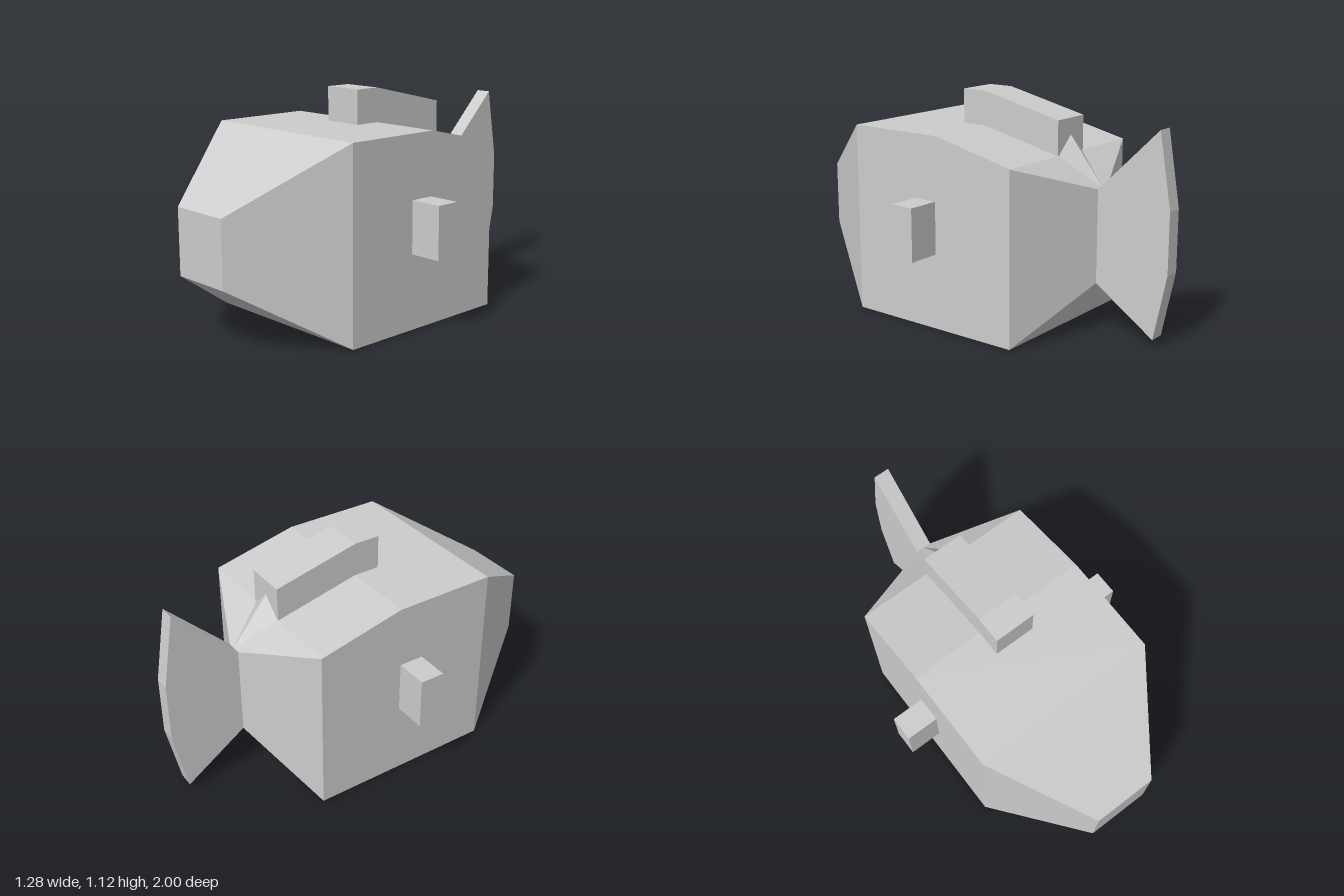
import * as THREE from 'three';

const material = new THREE.MeshStandardMaterial({ color: 0xcccccc, flatShading: true });

function addMesh(group, geometry, name) {
  const mesh = new THREE.Mesh(geometry, material);
  mesh.name = name;
  group.add(mesh);
  return mesh;
}

// Solid lofted through equal-sized rings of points, listed from front to back.
// Each ring runs counter-clockwise as seen from the front.
function loft(rings) {
  const n = rings[0].length;
  const positions = [];
  const tri = (a, b, c) => positions.push(...a, ...b, ...c);
  for (let i = 0; i < rings.length - 1; i++) {
    for (let j = 0; j < n; j++) {
      const k = (j + 1) % n;
      const a = rings[i][j], b = rings[i][k], c = rings[i + 1][k], d = rings[i + 1][j];
      tri(a, d, c);
      tri(a, c, b);
    }
  }
  const first = rings[0], last = rings[rings.length - 1];
  for (let j = 1; j < n - 1; j++) {
    tri(first[0], first[j], first[j + 1]);
    tri(last[0], last[j + 1], last[j]);
  }
  const geometry = new THREE.BufferGeometry();
  geometry.setAttribute('position', new THREE.Float32BufferAttribute(positions, 3));
  geometry.computeVertexNormals();
  return geometry;
}

// Flat plate from a [z, y] outline, centred on x = 0.
function plate(outline, width) {
  const shape = new THREE.Shape(outline.map(([z, y]) => new THREE.Vector2(-z, y)));
  const geometry = new THREE.ExtrudeGeometry(shape, { depth: width, bevelEnabled: false });
  geometry.translate(0, 0, -width / 2);
  geometry.rotateY(Math.PI / 2);
  return geometry;
}

export function createModel() {
  const fish = new THREE.Group();
  fish.name = 'fish';

  // Body: rectangular sections as z, half width, bottom, top
  const sections = [
    [1, 0.162, 0.315, 0.64],
    [0.515, 0.475, 0.003, 0.952],
    [0, 0.475, 0.003, 0.952],
    [-0.435, 0.475, 0.003, 0.852],
    [-0.62, 0.04, 0.25, 0.708],
  ];
  addMesh(fish, loft(sections.map(([z, w, y0, y1]) => [
    [-w, y0, z], [w, y0, z], [w, y1, z], [-w, y1, z],
  ])), 'body');

  // Fin along the back, following the slope of the body
  addMesh(fish, plate([
    [0.133, 0.94], [0.133, 1.123], [0, 1.123], [-0.435, 1.022], [-0.435, 0.845], [0, 0.94],
  ], 0.21), 'dorsalFin');

  // Pointed ridge from the back fin down to the tail
  const tip = [0, 0.708, -0.622];
  addMesh(fish, loft([
    [[-0.105, 0.85, -0.43], [0.105, 0.85, -0.43], [0, 0.948, -0.43]],
    [tip, tip, tip],
  ]), 'dorsalRidge');

  // Tail fin
  addMesh(fish, plate([
    [-0.62, 0.25], [-0.62, 0.708], [-0.938, 1.023], [-1, 0.66], [-1, 0.36], [-0.934, 0.037],
  ], 0.08), 'tailFin');

  // Side fins
  for (const side of [1, -1]) {
    const fin = addMesh(fish, new THREE.BoxGeometry(0.18, 0.26, 0.125),
      side > 0 ? 'leftSideFin' : 'rightSideFin');
    fin.position.set(side * 0.55, 0.508, 0.07);
  }

  return fish;
}
